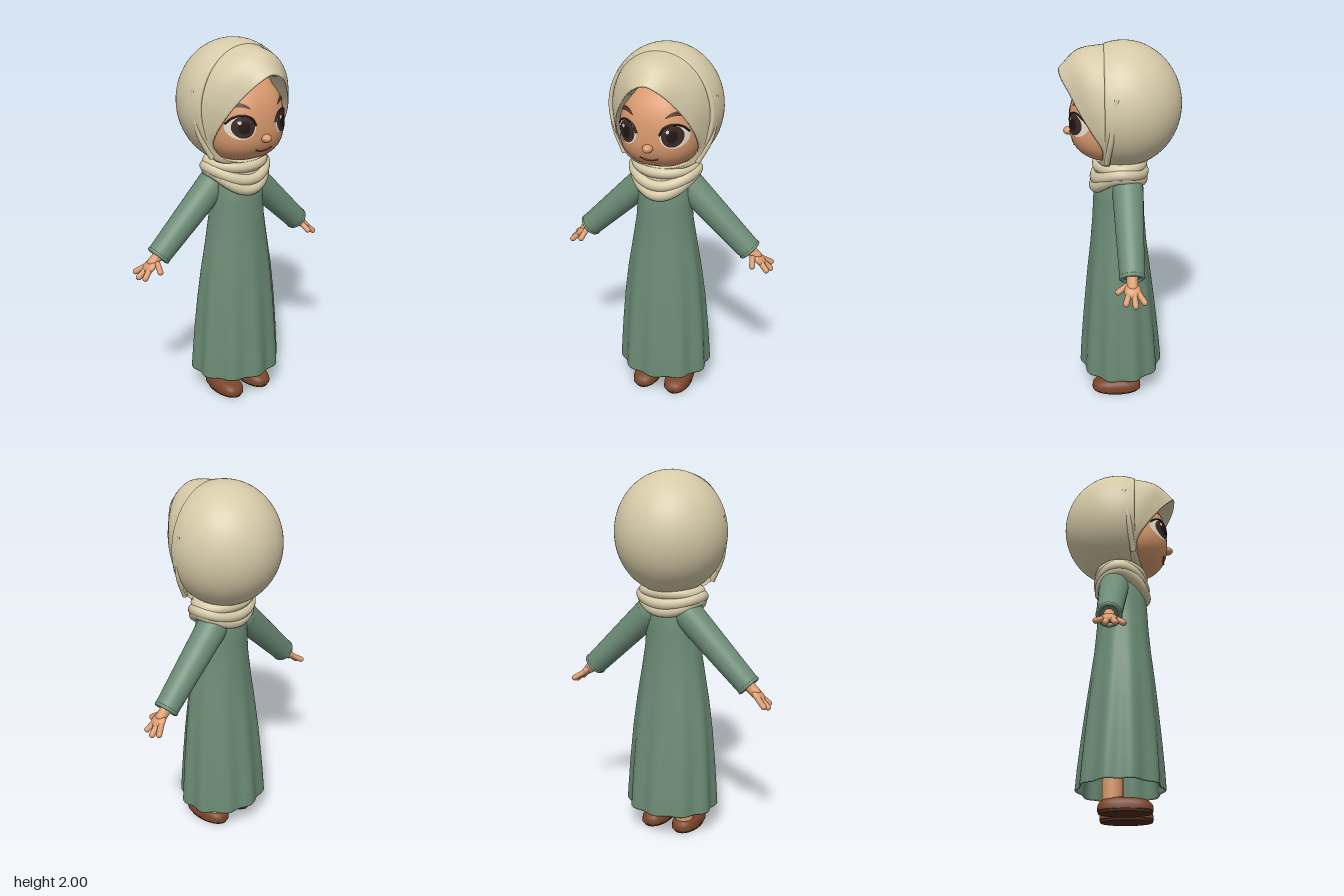
import * as THREE from 'three';

const V = (x, y, z) => new THREE.Vector3(x, y, z);
const material = (name, color, side = THREE.FrontSide) => {
  const m = new THREE.MeshStandardMaterial({ color, side });
  m.name = name;
  return m;
};

// Smooth skin over a list of closed rings with equal point counts
function loft(rings) {
  const n = rings[0].length, pos = [], idx = [];
  rings.forEach(r => r.forEach(p => pos.push(p.x, p.y, p.z)));
  for (let i = 0; i < rings.length - 1; i++)
    for (let j = 0; j < n; j++) {
      const a = i * n + j, b = i * n + (j + 1) % n;
      idx.push(a, a + n, b, b, a + n, b + n);
    }
  const g = new THREE.BufferGeometry();
  g.setAttribute('position', new THREE.Float32BufferAttribute(pos, 3));
  g.setIndex(idx);
  g.computeVertexNormals();
  return g;
}

// Ring made from its +x half, top to bottom, mirrored across x = 0
function mirroredRing(half, n = 72) {
  const pts = half.map(p => V(...p));
  const other = half.slice(1, -1).reverse().map(p => V(-p[0], p[1], p[2]));
  const c = new THREE.CatmullRomCurve3([...pts, ...other], true);
  return Array.from({ length: n }, (_, i) => c.getPoint(i / n));
}

const ovalRing = (y, rx, front, back, wave = 0, n = 120) => Array.from({ length: n }, (_, i) => {
  const a = i / n * Math.PI * 2, w = 1 + wave * Math.cos(a * 10), c = Math.cos(a);
  return V(Math.sin(a) * rx * w, y, (front - back) / 2 + c * (front + back) / 2 * w);
});

// Rounded head form: fuller than an ellipsoid, taller above the cheeks
const HEAD = { x: 0.215, up: 0.28, down: 0.188, z: 0.24, cy: 1.57, cz: 0.03, p: 2.4 };
const headY = y => Math.abs(y / (y > 0 ? HEAD.up : HEAD.down));
function faceZ(x, y) {
  const k = 1 - Math.abs(x / HEAD.x) ** HEAD.p - headY(y - HEAD.cy) ** HEAD.p;
  return HEAD.cz + HEAD.z * Math.max(k, 0) ** (1 / HEAD.p);
}
function headGeometry() {
  const g = new THREE.SphereGeometry(1, 56, 40), p = g.attributes.position;
  for (let i = 0; i < p.count; i++) {
    const x = p.getX(i), y = p.getY(i), z = p.getZ(i);
    const t = (Math.abs(x / HEAD.x) ** HEAD.p + headY(y) ** HEAD.p + Math.abs(z / HEAD.z) ** HEAD.p) ** (-1 / HEAD.p);
    p.setXYZ(i, x * t, y * t + HEAD.cy, z * t + HEAD.cz);
  }
  g.computeVertexNormals();
  return g;
}
// Thin oval laid on the face
function facePatch(cx, cy, rx, ry, lift, arch = 0) {
  const g = new THREE.RingGeometry(0, 1, 36, 6), p = g.attributes.position;
  for (let i = 0; i < p.count; i++) {
    const u = p.getX(i), x = cx + u * rx, y = cy + p.getY(i) * ry - arch * u * u;
    p.setXYZ(i, x, y, faceZ(x, y) + lift);
  }
  g.computeVertexNormals();
  return g;
}
const tube = (pts, r, closed = false, seg = 32) =>
  new THREE.TubeGeometry(new THREE.CatmullRomCurve3(pts, closed), seg, r, 12, closed);
const faceLine = (pts, r) => tube(pts.map(([x, y]) => V(x, y, faceZ(x, y) + 0.003)), r);

export function createModel() {
  const root = new THREE.Group();
  const cloth = material('cream cloth', 0xd6caa8, THREE.DoubleSide);
  const green = material('sage green', 0x6c8c76, THREE.DoubleSide);
  const skin = material('skin', 0xd99a6e);
  const brown = material('shoe brown', 0x7a4529);
  const soleMat = material('sole brown', 0x4d2b1b);
  const white = material('eye white', 0xe6dfcf);
  const dark = material('eye brown', 0x3c2821);
  const lash = material('lash black', 0x1f1613);
  const browMat = material('brow brown', 0x5c3322);
  const lip = material('lip line', 0x8c4a36);

  const add = (name, geo, mat, parent = root) => {
    const m = new THREE.Mesh(geo, mat);
    m.name = name;
    parent.add(m);
    return m;
  };
  const ball = (name, c, r, mat) => {
    const m = add(name, new THREE.SphereGeometry(1, 28, 20), mat);
    m.position.set(...c);
    m.scale.set(...r);
    return m;
  };
  // Rod between two points, round-ended or tapered
  const limb = (name, a, b, r, mat, r2) => {
    const d = b.clone().sub(a), len = d.length();
    const m = add(name, r2 ? new THREE.CylinderGeometry(r2, r, len, 32, 4) : new THREE.CapsuleGeometry(r, len, 8, 16), mat);
    m.position.copy(a).add(b).multiplyScalar(0.5);
    m.quaternion.setFromUnitVectors(V(0, 1, 0), d.normalize());
    return m;
  };

  // Head and face
  add('head', headGeometry(), skin);
  ball('nose', [0, 1.535, 0.272], [0.027, 0.022, 0.03], skin);
  add('mouth', faceLine([[-0.05, 1.478], [-0.025, 1.467], [0, 1.464], [0.025, 1.467], [0.05, 1.478]], 0.0035), lip);
  for (const s of [-1, 1]) {
    add('eyeWhite', facePatch(s * 0.125, 1.6, 0.064, 0.06, 0.003), white);
    add('iris', facePatch(s * 0.12, 1.603, 0.05, 0.055, 0.006), dark);
    add('pupil', facePatch(s * 0.12, 1.603, 0.026, 0.032, 0.008), lash);
    add('eyeGlint', facePatch(s * 0.12 - 0.02, 1.628, 0.008, 0.009, 0.0095), white);
    add('upperLash', faceLine([[0.06, 1.608], [0.08, 1.645], [0.12, 1.662], [0.16, 1.65], [0.186, 1.618]].map(([x, y]) => [s * x, y]), 0.005), lash);
    add('eyebrow', facePatch(s * 0.13, 1.712, 0.047, 0.01, 0.005, 0.02), browMat);
  }

  // Rear of the hood, open towards the front, with a rolled rim
  const back = new THREE.SphereGeometry(1, 64, 40, 0, Math.PI * 2, Math.acos(0.3), Math.PI - Math.acos(0.3));
  back.rotateX(Math.PI / 2).scale(0.298, 0.325, 0.304).translate(0, 1.675, -0.01);
  add('hoodBack', back, cloth);
  const rim = Array.from({ length: 32 }, (_, i) => {
    const a = i / 32 * Math.PI * 2;
    return V(Math.sin(a) * 0.273, 1.675 + Math.cos(a) * 0.3, 0.078);
  });
  add('hoodRim', tube(rim, 0.012, true, 90), cloth);

  // Front panel of the hood, sweeping forward over the brow and tucked inside
  const edge = [[0, 1.87, 0.315], [0.07, 1.84, 0.305], [0.14, 1.76, 0.255], [0.192, 1.67, 0.205], [0.217, 1.58, 0.15],
    [0.212, 1.49, 0.1], [0.165, 1.42, 0.1], [0.09, 1.385, 0.12], [0, 1.375, 0.13]];
  const middle = [[0, 1.958, 0.22], [0.1, 1.925, 0.21], [0.185, 1.84, 0.185], [0.232, 1.73, 0.15], [0.247, 1.62, 0.11],
    [0.237, 1.51, 0.085], [0.195, 1.42, 0.085], [0.11, 1.375, 0.1], [0, 1.36, 0.105]];
  const rear = [[0, 1.982, 0.075], [0.12, 1.952, 0.075], [0.215, 1.865, 0.07], [0.258, 1.75, 0.07], [0.268, 1.65, 0.06],
    [0.252, 1.53, 0.055], [0.21, 1.43, 0.06], [0.12, 1.37, 0.07], [0, 1.352, 0.07]];
  const controls = [rear, middle, edge].map(r => mirroredRing(r));
  const strips = controls[0].map((p, j) => new THREE.CatmullRomCurve3(controls.map(r => r[j])));
  const rings = Array.from({ length: 13 }, (_, i) => strips.map(c => c.getPoint(i / 12)));
  for (const [k, dz] of [[0.97, 0.004], [0.955, -0.02], [0.93, -0.1]])
    rings.push(controls[2].map(p => V(p.x * k, 1.6 + (p.y - 1.6) * k, p.z + dz)));
  add('hoodFront', loft(rings), cloth);
  // Cap beneath the hood, covering the hairline
  const cap = headGeometry();
  cap.translate(0, -1.825, -0.03).scale(1.08, 1.08, 1.08).translate(0, 1.825, 0.03);
  const keep = [], cp = cap.attributes.position, ci = cap.index.array;
  for (let i = 0; i < ci.length; i += 3)
    if ([0, 1, 2].every(k => cp.getY(ci[i + k]) > 1.815)) keep.push(ci[i], ci[i + 1], ci[i + 2]);
  cap.setIndex(keep);
  add('underCap', cap, cloth);
  for (const s of [-1, 1])
    add('hoodFold', tube([V(s * 0.272, 1.77, 0.03), V(s * 0.277, 1.67, 0.045), V(s * 0.262, 1.55, 0.06), V(s * 0.2, 1.42, 0.08)], 0.015), cloth);

  // Scarf wrapped around the neck in sagging folds
  add('scarfCore', loft([ovalRing(1.21, 0.09, 0.13, 0.09), ovalRing(1.27, 0.14, 0.14, 0.11), ovalRing(1.34, 0.155, 0.14, 0.12), ovalRing(1.4, 0.13, 0.09, 0.1)]), cloth);
  for (const [y, sagF, sagB, rx, front, rear, r] of [
    [1.365, 0.015, 0, 0.155, 0.125, 0.11, 0.03],
    [1.345, 0.065, 0.035, 0.17, 0.135, 0.115, 0.032],
    [1.325, 0.095, 0.055, 0.158, 0.138, 0.108, 0.034]]) {
    const pts = Array.from({ length: 24 }, (_, i) => {
      const a = i / 24 * Math.PI * 2, c = Math.cos(a);
      return V(Math.sin(a) * rx, y - c * c * (c > 0 ? sagF : sagB), c * (c > 0 ? front : rear));
    });
    add('scarfFold', tube(pts, r, true, 80), cloth);
  }

  // Long dress flaring into soft pleats: y, half width, front, back, pleat depth
  const dress = [[1.345, 0.07, 0.07, 0.07, 0], [1.31, 0.125, 0.11, 0.1, 0], [1.25, 0.147, 0.14, 0.118, 0], [1.16, 0.148, 0.15, 0.122, 0],
    [1.05, 0.156, 0.155, 0.126, 0.003], [0.9, 0.18, 0.167, 0.138, 0.009], [0.75, 0.204, 0.183, 0.157, 0.016], [0.58, 0.224, 0.198, 0.178, 0.024],
    [0.4, 0.238, 0.212, 0.198, 0.032], [0.25, 0.247, 0.222, 0.213, 0.038], [0.145, 0.253, 0.227, 0.221, 0.04],
    [0.138, 0.249, 0.223, 0.217, 0.04], [0.15, 0.243, 0.217, 0.211, 0.04], [0.4, 0.228, 0.202, 0.188, 0.032]];
  add('dress', loft(dress.map(d => ovalRing(...d))), green);

  for (const s of [-1, 1]) {
    // Sleeve with a rounded cuff
    const shoulder = V(s * 0.12, 1.24, -0.03), cuff = V(s * 0.465, 0.905, -0.037);
    limb('sleeve', shoulder, cuff, 0.082, green, 0.064);
    ball('shoulder', [s * 0.12, 1.24, -0.03], [0.082, 0.082, 0.082], green);
    const hem = add('cuff', new THREE.TorusGeometry(0.056, 0.011, 10, 36), green);
    hem.position.copy(cuff);
    hem.quaternion.setFromUnitVectors(V(0, 0, 1), cuff.clone().sub(shoulder).normalize());

    // Hand with three fingers and a thumb
    limb('wrist', V(s * 0.45, 0.92, -0.037), V(s * 0.505, 0.872, -0.037), 0.029, skin);
    const palm = ball('palm', [s * 0.522, 0.857, -0.037], [0.042, 0.022, 0.043], skin);
    palm.rotation.z = -s * 0.75;
    for (const [x, y, z] of [[0.574, 0.82, -0.095], [0.582, 0.805, -0.05], [0.57, 0.812, -0.002]])
      limb('finger', V(s * 0.53, 0.85, -0.037 + (z + 0.037) * 0.5), V(s * x, y, z), 0.0155, skin);
    limb('thumb', V(s * 0.49, 0.872, -0.01), V(s * 0.5, 0.842, 0.035), 0.0155, skin);

    // Leg and slip-on shoe
    limb('leg', V(s * 0.095, 0.05, -0.035), V(s * 0.095, 0.4, -0.035), 0.05, skin, 0.055);
    const shoe = new THREE.SphereGeometry(1, 36, 24), p = shoe.attributes.position;
    for (let i = 0; i < p.count; i++) {
      const x = p.getX(i), y = p.getY(i), z = p.getZ(i);
      const t = (Math.abs(x) ** 2.7 + Math.abs(y) ** 2.7 + Math.abs(z) ** 2.7) ** (-1 / 2.7);
      p.setXYZ(i, s * 0.095 + x * t * 0.073, Math.max(0.012, 0.022 + y * t * (0.058 - 0.005 * z)), 0.03 + z * t * 0.138);
    }
    shoe.computeVertexNormals();
    add('shoe', shoe, brown);
    const sole = add('sole', new THREE.CylinderGeometry(1, 0.96, 0.016, 40), soleMat);
    sole.scale.set(0.074, 1, 0.139);
    sole.position.set(s * 0.095, 0.008, 0.03);
  }
  return root;
}
